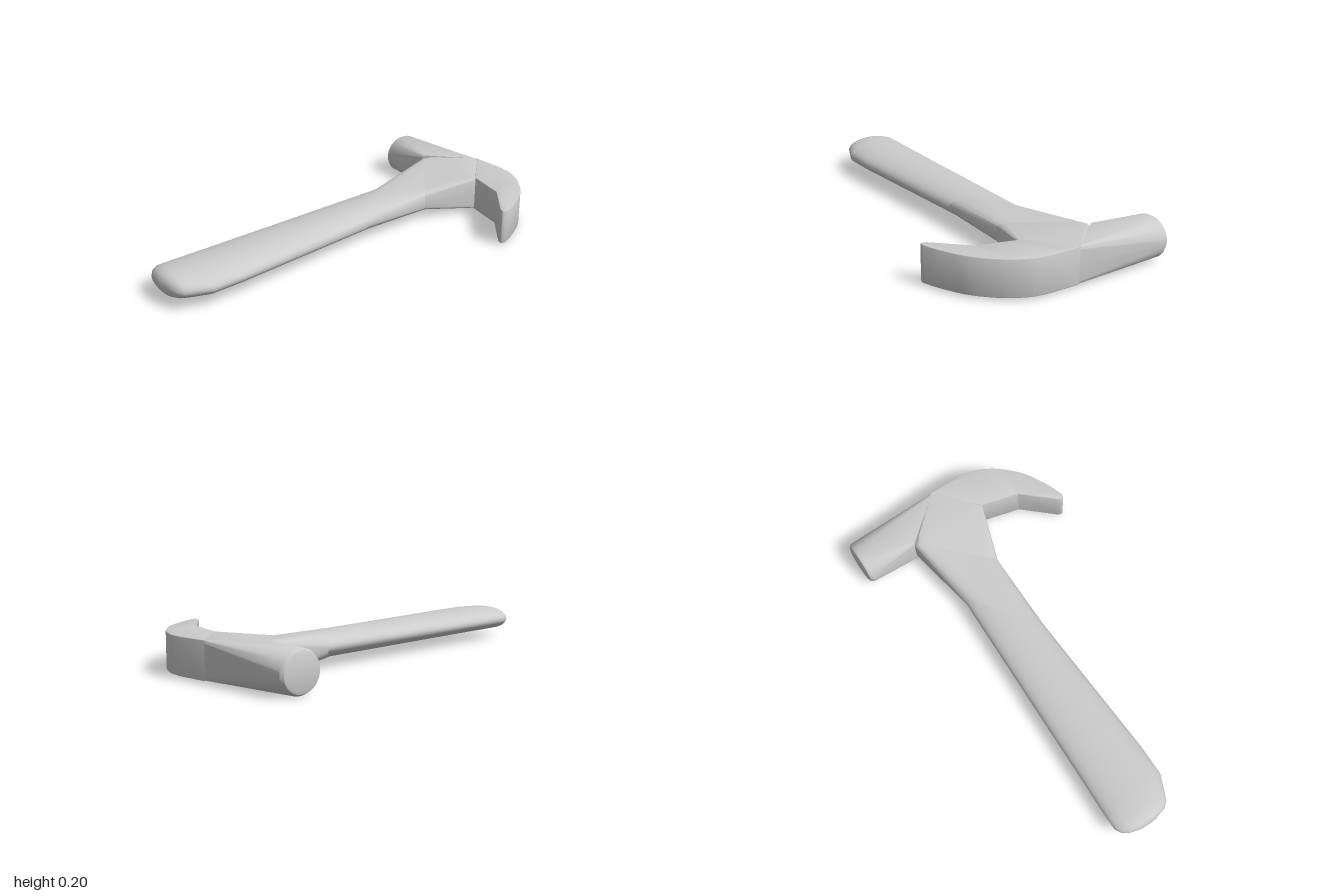
import * as THREE from 'three';
import { toCreasedNormals } from 'three/addons/utils/BufferGeometryUtils.js';

const MID_Y = 0.104;
const SEGMENTS = 40;
const material = new THREE.MeshStandardMaterial({ color: 0xcccccc });

// Section: edge points a and b in plan [x, z], half height at each edge,
// and e, which squares the ellipse (1 = ellipse, near 0 = rectangle).
const section = (a, b, ha, hb = ha, e = 1) => ({ a, b, ha, hb, e });

// Skin through the sections, closed at both ends.
function loft(name, sections, crease = 0.6) {
  const positions = [];
  const index = [];
  const squash = (v, e) => Math.sign(v) * Math.pow(Math.abs(v), e);
  for (const { a, b, ha, hb, e } of sections) {
    for (let i = 0; i < SEGMENTS; i++) {
      const angle = (i / SEGMENTS) * Math.PI * 2;
      const t = (squash(Math.cos(angle), e) + 1) / 2;
      const h = THREE.MathUtils.lerp(ha, hb, t);
      positions.push(
        THREE.MathUtils.lerp(a[0], b[0], t),
        MID_Y + h * squash(Math.sin(angle), e),
        THREE.MathUtils.lerp(a[1], b[1], t)
      );
    }
  }
  const last = (sections.length - 1) * SEGMENTS;
  const startCentre = positions.length / 3;
  for (const { a, b } of [sections[0], sections[sections.length - 1]]) {
    positions.push((a[0] + b[0]) / 2, MID_Y, (a[1] + b[1]) / 2);
  }
  for (let i = 0; i < SEGMENTS; i++) {
    const j = (i + 1) % SEGMENTS;
    for (let row = 0; row < last; row += SEGMENTS) {
      const next = row + SEGMENTS;
      index.push(row + i, next + i, row + j, row + j, next + i, next + j);
    }
    index.push(startCentre, i, j, startCentre + 1, last + j, last + i);
  }
  const geometry = new THREE.BufferGeometry();
  geometry.setAttribute('position', new THREE.Float32BufferAttribute(positions, 3));
  geometry.setIndex(index);
  const mesh = new THREE.Mesh(toCreasedNormals(geometry, crease), material);
  mesh.name = name;
  return mesh;
}

// Curved claw: plan outline extruded upward.
function createClaw() {
  const points = (list) => list.map(([x, z]) => new THREE.Vector2(x, -z));
  const shape = new THREE.Shape();
  shape.moveTo(-0.02, 0.98);
  shape.lineTo(0.14, 0.98);
  shape.splineThru(points([[0.22, -0.965], [0.32, -0.91], [0.42, -0.81], [0.485, -0.69], [0.515, -0.605]]));
  shape.splineThru(points([[0.509, -0.587], [0.49, -0.595]]));
  shape.lineTo(0.34, 0.735);
  shape.splineThru(points([[0.25, -0.758], [0.15, -0.785]]));
  shape.closePath();
  const bevel = 0.006;
  const geometry = new THREE.ExtrudeGeometry(shape, {
    depth: 0.178 - 2 * bevel,
    bevelSize: bevel,
    bevelThickness: bevel,
    bevelSegments: 2,
    curveSegments: 8,
  });
  geometry.rotateX(-Math.PI / 2);
  geometry.translate(0, MID_Y - 0.089 + bevel, 0);
  const mesh = new THREE.Mesh(toCreasedNormals(geometry, 0.6), material);
  mesh.name = 'claw';
  return mesh;
}

export function createModel() {
  const group = new THREE.Group();
  group.name = 'clawHammer';

  // Shared oblique joints between the parts
  const gripEnd = section([-0.195, -0.4], [0.06, -0.1], 0.062);
  const neckEnd = section([-0.25, -0.79], [0.06, -0.5], 0.088, 0.05, 0.3);

  // Grip with rounded butt, slightly wider towards the end
  group.add(loft('handle', [
    section([-0.14, 1.0], [-0.05, 1.0], 0.025),
    section([-0.195, 0.985], [0.01, 0.985], 0.045),
    section([-0.225, 0.962], [0.037, 0.962], 0.055),
    section([-0.24, 0.935], [0.05, 0.935], 0.06),
    section([-0.24, 0.84], [0.092, 0.84], 0.062),
    section([-0.233, 0.68], [0.094, 0.68], 0.062),
    gripEnd,
  ], 0.9));

  // Neck flaring into the head
  group.add(loft('neck', [gripEnd, neckEnd]));

  // Flat cheek narrowing to the back of the head
  group.add(loft('cheek', [
    neckEnd,
    section([-0.21, -0.82], [0.152, -0.78], 0.088, 0.088, 0.1),
    section([-0.03, -0.982], [-0.01, -0.982], 0.088, 0.088, 0.1),
  ]));

  // Round striking face blending into the squared head
  group.add(loft('poll', [
    section([-0.525, -0.975], [-0.525, -0.8], 0.078),
    section([-0.52, -0.99], [-0.52, -0.785], 0.091),
    section([-0.505, -1.0], [-0.505, -0.775], 0.099),
    section([-0.02, -0.983], [-0.25, -0.79], 0.088, 0.088, 0.1),
  ]));

  group.add(createClaw());
  return group;
}
